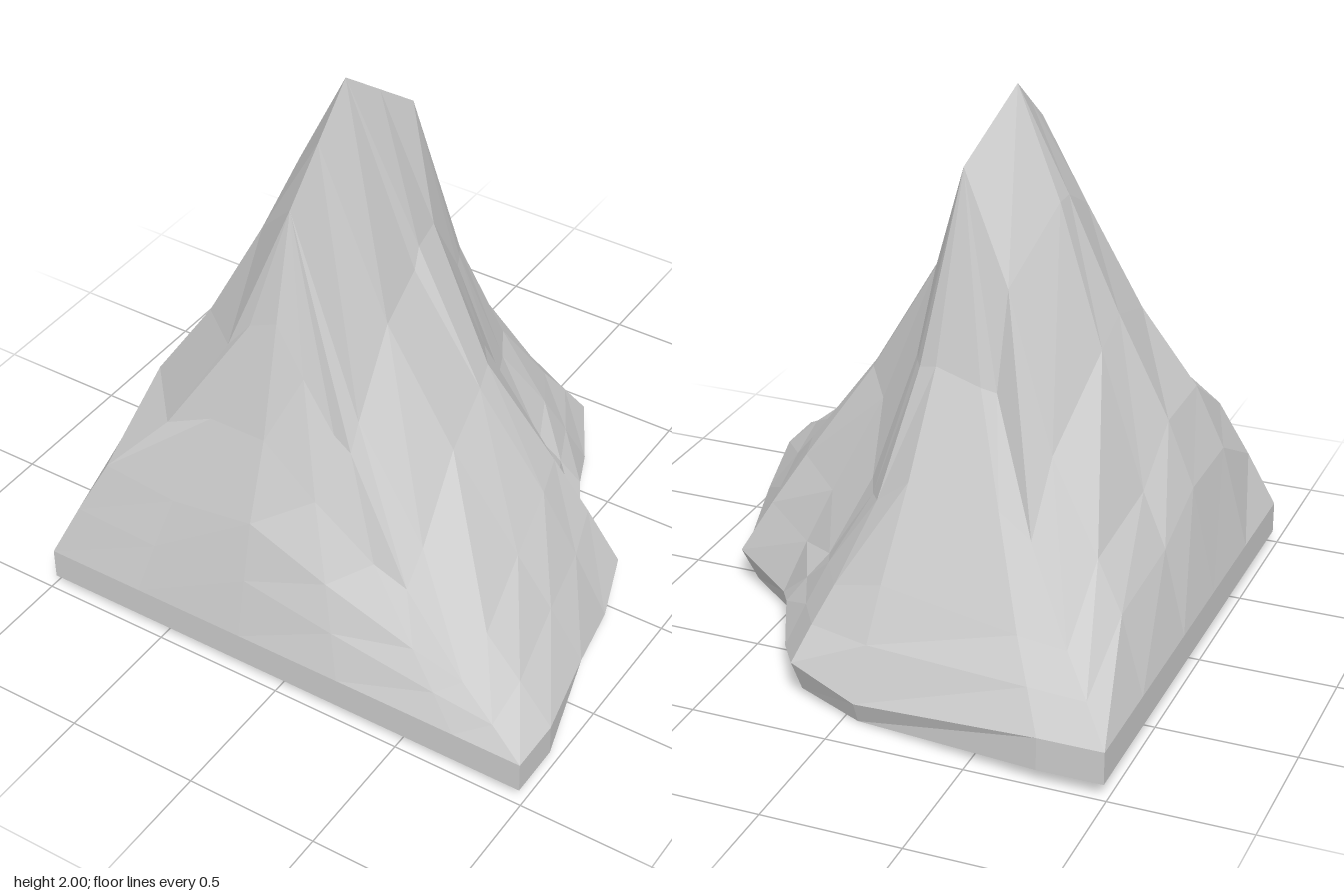
import * as THREE from 'three';

// Summit ridge, front to back: x, y, z
const ridge = {
  front: [-0.16, 1.75, 0.58],
  mid: [-0.195, 1.875, 0.36],
  peak: [-0.23, 2.0, 0.14],
  saddle: [-0.19, 1.89, -0.005],
  back: [-0.15, 1.78, -0.15],
};

// Spokes counter-clockwise from the front right corner of the plan:
// foot x, foot z, ridge point, heights at 1/4, 1/2 and 3/4 of the climb
const spokes = [
  [-0.985, 0.985, 'front', 0.6, 0.82, 1.18],
  [-0.6, 0.985, 'front', 0.57, 0.92, 1.3],
  [-0.16, 0.985, 'front', 0.62, 0.92, 1.35],
  [0.25, 0.985, 'front', 0.49, 0.74, 1.16],
  [0.72, 0.985, 'front', 0.37, 0.57, 0.97],
  [0.985, 0.985, 'front', 0.32, 0.52, 0.92],
  [0.985, 0.78, 'front', 0.42, 0.63, 1.02],
  [0.9, 0.42, 'mid', 0.49, 0.83, 1.25],
  [0.83, 0.12, 'peak', 0.54, 0.9, 1.31],
  [0.76, -0.1, 'peak', 0.55, 0.92, 1.37],
  [0.52, -0.24, 'saddle', 0.5, 0.87, 1.37],
  [0.43, -0.4, 'back', 0.33, 0.63, 1.1],
  [0.34, -0.6, 'back', 0.38, 0.62, 1.1],
  [0.22, -0.8, 'back', 0.38, 0.65, 1.1],
  [-0.05, -0.88, 'back', 0.45, 0.76, 1.12],
  [-0.75, -0.985, 'back', 0.41, 0.74, 1.08],
  [-0.985, -0.985, 'back', 0.39, 0.65, 1.07],
  [-0.985, -0.6, 'back', 0.59, 0.88, 1.41],
  [-0.985, -0.15, 'peak', 0.66, 1.13, 1.62],
  [-0.985, 0.2, 'peak', 0.82, 1.2, 1.62],
  [-0.985, 0.6, 'mid', 0.81, 1.11, 1.5],
];

// Points of one spoke from the underside up to the ridge
function spokePoints([x, z, name, ...heights], i) {
  const top = new THREE.Vector3(...ridge[name]);
  const ragged = i > 6 && i < 15; // eroded side, undercut below its lip
  const lip = ragged ? (i % 2 ? 0.14 : 0.08) : 0.17;
  const inset = ragged ? (i % 2 ? 0.06 : 0.04) : 0;
  const floor = ragged ? (i % 2 ? 0.025 : 0) : 0.05;
  // The foot of the left side bulges
  const shoulder = THREE.MathUtils.lerp(lip, heights[0], i > 16 ? 0.62 : 0.5);
  const at = (t, y) => new THREE.Vector3(
    THREE.MathUtils.lerp(x, top.x, t), y, THREE.MathUtils.lerp(z, top.z, t));
  return [at(inset, floor), at(0, lip), at(0.12, shoulder),
    ...heights.map((y, k) => at((k + 1) / 4, y)), top];
}

export function createModel() {
  const columns = spokes.map(spokePoints);
  const positions = [];
  const triangle = (a, b, c) => {
    if (a.equals(b) || b.equals(c) || c.equals(a)) return;
    for (const p of [a, b, c]) positions.push(p.x, p.y, p.z);
  };
  const centre = new THREE.Vector3(-0.1, 0.03, 0.1);

  columns.forEach((a, i) => {
    const b = columns[(i + 1) % columns.length];
    // Faceted slope between neighbouring spokes
    for (let k = 0; k < a.length - 1; k++) {
      triangle(a[k], b[k], b[k + 1]);
      triangle(a[k], b[k + 1], a[k + 1]);
    }
    // Underside
    triangle(centre, b[0], a[0]);
  });

  const geometry = new THREE.BufferGeometry();
  geometry.setAttribute('position', new THREE.Float32BufferAttribute(positions, 3));
  geometry.computeVertexNormals();

  const rock = new THREE.Mesh(
    geometry, new THREE.MeshStandardMaterial({ color: 0xcccccc, flatShading: true }));
  rock.name = 'rock';
  const group = new THREE.Group();
  group.name = 'rockyPeak';
  group.add(rock);
  return group;
}
